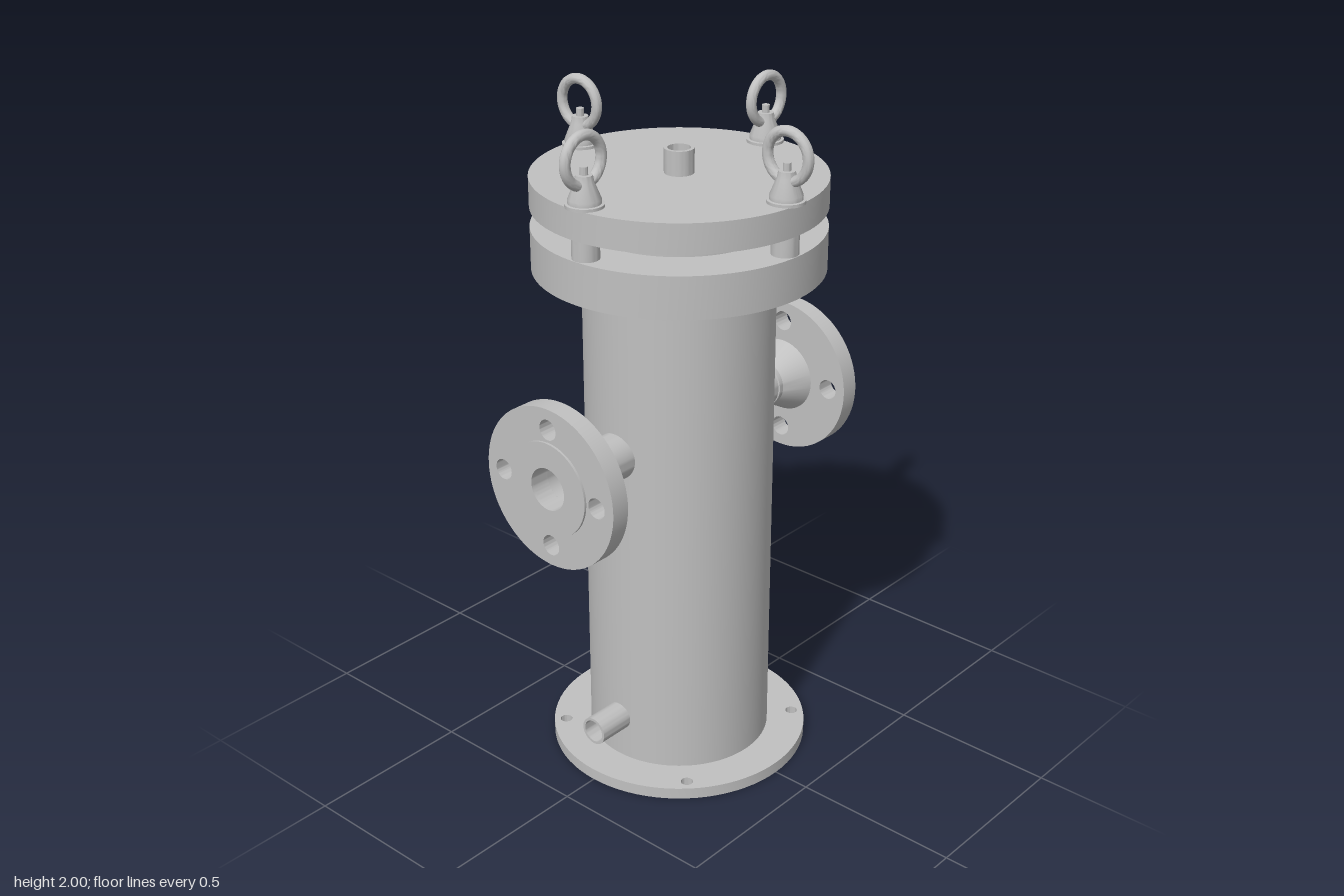
import * as THREE from 'three';
import { toCreasedNormals } from 'three/addons/utils/BufferGeometryUtils.js';

const steel = new THREE.MeshStandardMaterial({ color: 0xc0c0c0 });
steel.name = 'steel grey';

function part(name, geometry, parent) {
  const mesh = new THREE.Mesh(toCreasedNormals(geometry, 0.5), steel);
  mesh.name = name;
  parent.add(mesh);
  return mesh;
}

// Profile of [radius, height] pairs turned about the y axis
function turned(points, segments = 48) {
  return new THREE.LatheGeometry(points.map(([r, y]) => new THREE.Vector2(r, y)), segments);
}

// Open tube with wall thickness
function pipe(inner, outer, y0, y1) {
  return turned([[inner, y0], [outer, y0], [outer, y1], [inner, y1], [inner, y0]]);
}

function disc(radius, y0, y1) {
  return new THREE.CylinderGeometry(radius, radius, y1 - y0, 96).translate(0, (y0 + y1) / 2, 0);
}

// Flat disc with four bolt holes and an optional bore
function drilledDisc(radius, y0, y1, boltCircle, holeRadius, startAngle, bore = 0) {
  const shape = new THREE.Shape().absarc(0, 0, radius, 0, Math.PI * 2, false);
  const hole = (x, y, r) => shape.holes.push(new THREE.Path().absarc(x, y, r, 0, Math.PI * 2, true));
  for (let i = 0; i < 4; i++) {
    const a = startAngle + i * Math.PI / 2;
    hole(Math.cos(a) * boltCircle, Math.sin(a) * boltCircle, holeRadius);
  }
  if (bore) hole(0, 0, bore);
  return new THREE.ExtrudeGeometry(shape, { depth: y1 - y0, bevelEnabled: false, curveSegments: 40 })
    .rotateX(-Math.PI / 2).translate(0, y0, 0);
}

// Side nozzle, modelled along +y and then laid on its side
function nozzle(name, side) {
  const group = new THREE.Group();
  group.name = name;
  part('nozzlePipe', pipe(0.062, 0.068, 0.25, 0.372), group);
  part('weldNeck', turned([
    [0.062, 0.37], [0.064, 0.37], [0.064, 0.378], [0.068, 0.38], [0.068, 0.395],
    [0.113, 0.476], [0.062, 0.476], [0.062, 0.37],
  ]), group);
  part('nozzleFlange', drilledDisc(0.236, 0.474, 0.531, 0.175, 0.03, 0, 0.062), group);
  part('raisedFace', pipe(0.062, 0.138, 0.53, 0.538), group);
  group.rotation.z = -side * Math.PI / 2;
  group.position.y = 1.035;
  return group;
}

// Lifting eye with its stud, ring lying in the radial plane
function liftingEye(angle) {
  const group = new THREE.Group();
  group.name = 'liftingEye';
  part('stud', new THREE.CylinderGeometry(0.038, 0.038, 0.08, 32).translate(0.37, 1.685, 0), group);
  part('eyeBase', turned([
    [0, 1.794], [0.053, 1.794], [0.053, 1.803], [0.045, 1.804], [0.045, 1.815],
    [0.026, 1.862], [0.023, 1.88], [0.011, 1.88], [0.011, 1.902], [0, 1.902],
  ], 32).translate(0.37, 0, 0), group);
  part('eyeRing', new THREE.TorusGeometry(0.067, 0.015, 16, 48).translate(0.372, 1.918, 0), group);
  group.rotation.y = angle;
  return group;
}

export function createModel() {
  const model = new THREE.Group();
  model.name = 'filterVessel';

  // Vessel body
  part('basePlate', drilledDisc(0.386, 0, 0.035, 0.35, 0.018, Math.PI / 4), model);
  part('shell', disc(0.272, 0.034, 1.712), model);
  part('bodyFlange', disc(0.41, 1.53, 1.652), model);
  part('cover', disc(0.41, 1.71, 1.795), model);

  // Vent on the cover and drain low on the side
  part('ventPort', pipe(0.032, 0.042, 1.79, 1.865), model);
  const drain = part('drainPipe', pipe(0.034, 0.042, 0.25, 0.382), model);
  drain.rotation.z = Math.PI / 2;
  drain.position.y = 0.17;

  // Inlet and outlet
  model.add(nozzle('leftNozzle', 1), nozzle('rightNozzle', -1));

  // Four cover studs with lifting eyes
  for (let i = 0; i < 4; i++) model.add(liftingEye(i * Math.PI / 2));

  return model;
}
